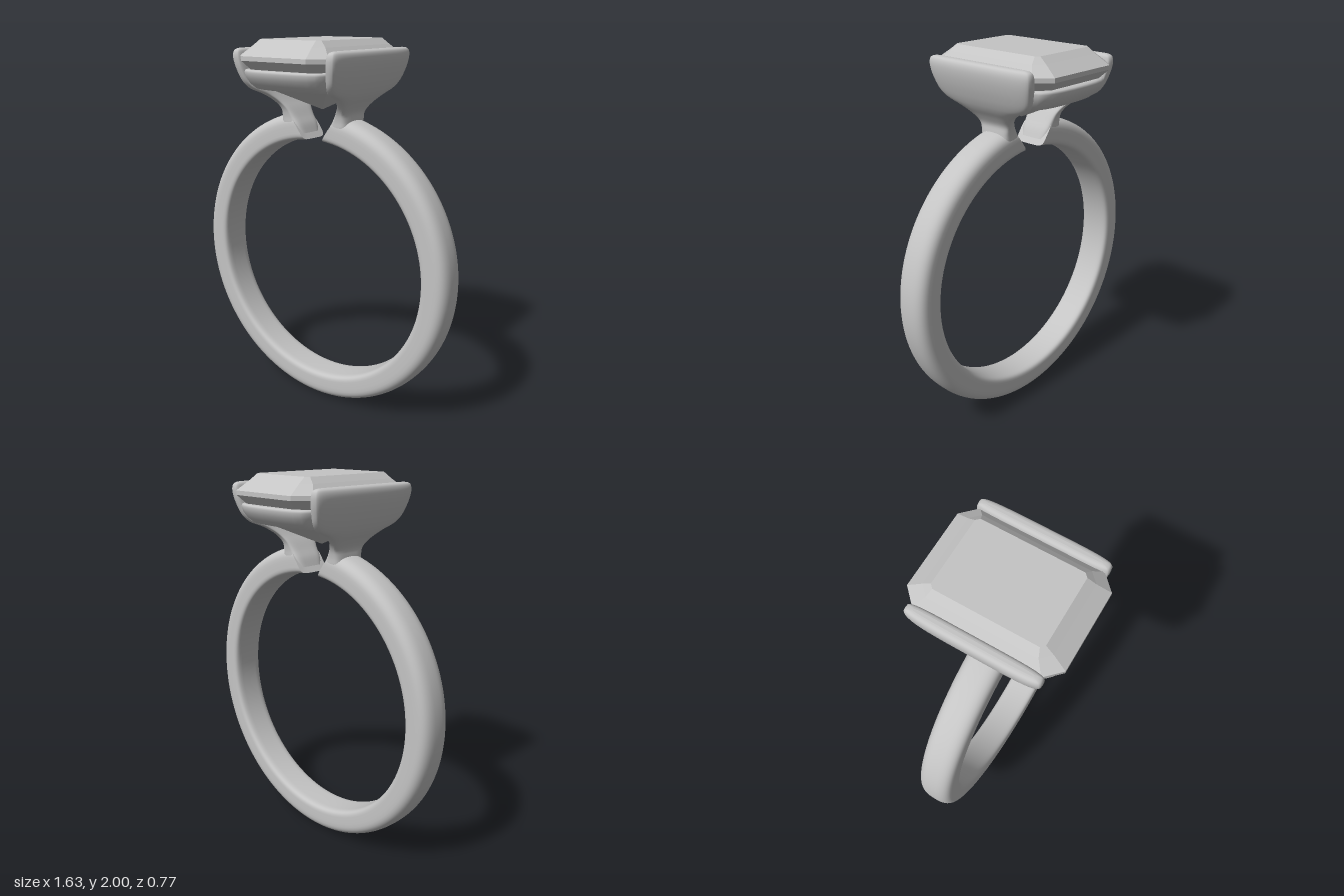
import * as THREE from 'three';

const silver = new THREE.MeshStandardMaterial({ color: 0xc4c4c4 });
silver.name = 'silver grey';

// Skin a list of equal-length closed rings (arrays of Vector3), with optional end caps.
function loft(rings, { caps = true, flat = false } = {}) {
  const n = rings[0].length, pos = [], idx = [];
  const add = (p) => pos.push(p.x, p.y, p.z) / 3 - 1;
  rings.forEach((r) => r.forEach(add));
  for (let i = 0; i < rings.length - 1; i++) {
    for (let j = 0; j < n; j++) {
      const k = (j + 1) % n;
      const a = i * n + j, b = i * n + k, c = b + n, d = a + n;
      idx.push(a, b, c, a, c, d);
    }
  }
  const cap = (ring, flip) => {
    const mid = new THREE.Vector3();
    ring.forEach((p) => mid.addScaledVector(p, 1 / n));
    const m = add(mid), s = m + 1;
    ring.forEach(add);
    for (let j = 0; j < n; j++) {
      const a = s + j, b = s + (j + 1) % n;
      idx.push(m, flip ? b : a, flip ? a : b);
    }
  };
  if (caps) {
    cap(rings[0], true);
    cap(rings[rings.length - 1], false);
  }
  let geo = new THREE.BufferGeometry();
  geo.setAttribute('position', new THREE.Float32BufferAttribute(pos, 3));
  geo.setIndex(idx);
  if (flat) geo = geo.toNonIndexed();
  geo.computeVertexNormals();
  return geo;
}

const bend = (v, e) => Math.sign(v) * Math.pow(Math.abs(v), e);

// Rounded-rectangle loop in unit coordinates; separate softness for its + and - sides.
function roundedLoop(ePlus, eMinus, steps = 40) {
  return Array.from({ length: steps }, (_, j) => {
    const t = (j / steps) * Math.PI * 2, c = Math.cos(t), s = Math.sin(t);
    const e = c > 0 ? ePlus : eMinus;
    return [bend(c, e), -bend(s, e)];
  });
}

// Rectangle with cut corners, lying flat at height y.
function octagon(y, hx, hz, cut) {
  const x = hx - cut, z = hz - cut;
  return [[hx, z], [hx, -z], [x, -hz], [-x, -hz], [-hx, -z], [-hx, z], [-x, hz], [x, hz]]
    .map(([px, pz]) => new THREE.Vector3(px, y, pz));
}

// Corner cutting, to round off a closed loop.
function soften(loop) {
  return loop.flatMap((p, i) => {
    const q = loop[(i + 1) % loop.length];
    return [p.clone().lerp(q, 0.25), p.clone().lerp(q, 0.75)];
  });
}

// Open band: flat inside, domed outside, ends cut on a slant.
function bandGeometry() {
  const section = roundedLoop(0.72, 0.35), rings = [], steps = 120;
  for (let i = 0; i <= steps; i++) {
    const u = (i / steps) * 2 - 1;
    rings.push(section.map(([c, s]) => {
      const r = 0.742 + 0.073 * c;
      const gap = 0.085 + 0.055 * (c + 1);
      const a = u * (Math.PI - gap);
      return new THREE.Vector3(r * Math.sin(a), 0.818 - r * Math.cos(a), 0.093 * s);
    }));
  }
  return loft(rings);
}

// Flared wall that rises from a band end and grips the stone.
function prongGeometry() {
  // height, inner x, outer x, half depth
  const rows = [
    [1.515, 0.075, 0.18, 0.08], [1.56, 0.095, 0.215, 0.09], [1.60, 0.122, 0.215, 0.092],
    [1.64, 0.148, 0.213, 0.101], [1.68, 0.178, 0.235, 0.128], [1.72, 0.205, 0.265, 0.185],
    [1.755, 0.224, 0.286, 0.265], [1.79, 0.238, 0.302, 0.298], [1.84, 0.248, 0.320, 0.318],
    [1.89, 0.256, 0.332, 0.330], [1.925, 0.262, 0.334, 0.332], [1.945, 0.268, 0.328, 0.325],
    [1.953, 0.277, 0.318, 0.31], [1.956, 0.288, 0.306, 0.29],
  ];
  const path = new THREE.CatmullRomCurve3(rows.map(([y, a, b, d]) => new THREE.Vector3((a + b) / 2, y, d)));
  const thick = new THREE.CatmullRomCurve3(rows.map(([y, a, b]) => new THREE.Vector3((b - a) / 2, y, 0)));
  const section = roundedLoop(0.5, 0.4), rings = [], steps = 52;
  for (let i = 0; i <= steps; i++) {
    const p = path.getPoint(i / steps), h = thick.getPoint(i / steps).x;
    rings.push(section.map(([c, s]) => new THREE.Vector3(p.x + h * c, p.y, p.z * s)));
  }
  return loft(rings);
}

// Rounded rail that runs under the stone between the walls.
function railGeometry() {
  const profile = [ // height, inset
    [1.755, 0.085], [1.760, 0.065], [1.785, 0.032], [1.815, 0.010], [1.842, 0.0], [1.853, 0.005],
    [1.857, 0.02], [1.855, 0.08], [1.845, 0.095], [1.77, 0.125], [1.757, 0.115], [1.755, 0.085],
  ];
  const rings = profile.map(([y, d]) =>
    soften(soften(octagon(y, 0.275 - d * 0.6, 0.376 - d, 0.085 - d * 0.3))));
  return loft(rings, { caps: false });
}

// Step-cut stone with a pointed underside.
function stoneGeometry() {
  const rings = [
    [1.643, 0.003, 0.004, 0.001], [1.75, 0.172, 0.235, 0.045], [1.893, 0.268, 0.378, 0.07],
    [1.900, 0.277, 0.385, 0.073], [1.922, 0.277, 0.385, 0.073],
    [1.97, 0.228, 0.315, 0.045], [2.0, 0.193, 0.273, 0.018],
  ].map((r) => octagon(...r));
  return loft(rings, { flat: true });
}

export function createModel() {
  const ring = new THREE.Group();
  ring.name = 'ring';
  const part = (name, geometry) => {
    const mesh = new THREE.Mesh(geometry, silver);
    mesh.name = name;
    ring.add(mesh);
    return mesh;
  };
  part('band', bandGeometry());
  const prong = prongGeometry();
  part('leftProngWall', prong);
  part('rightProngWall', prong).rotation.y = Math.PI;
  part('galleryRail', railGeometry());
  part('stone', stoneGeometry());
  return ring;
}
